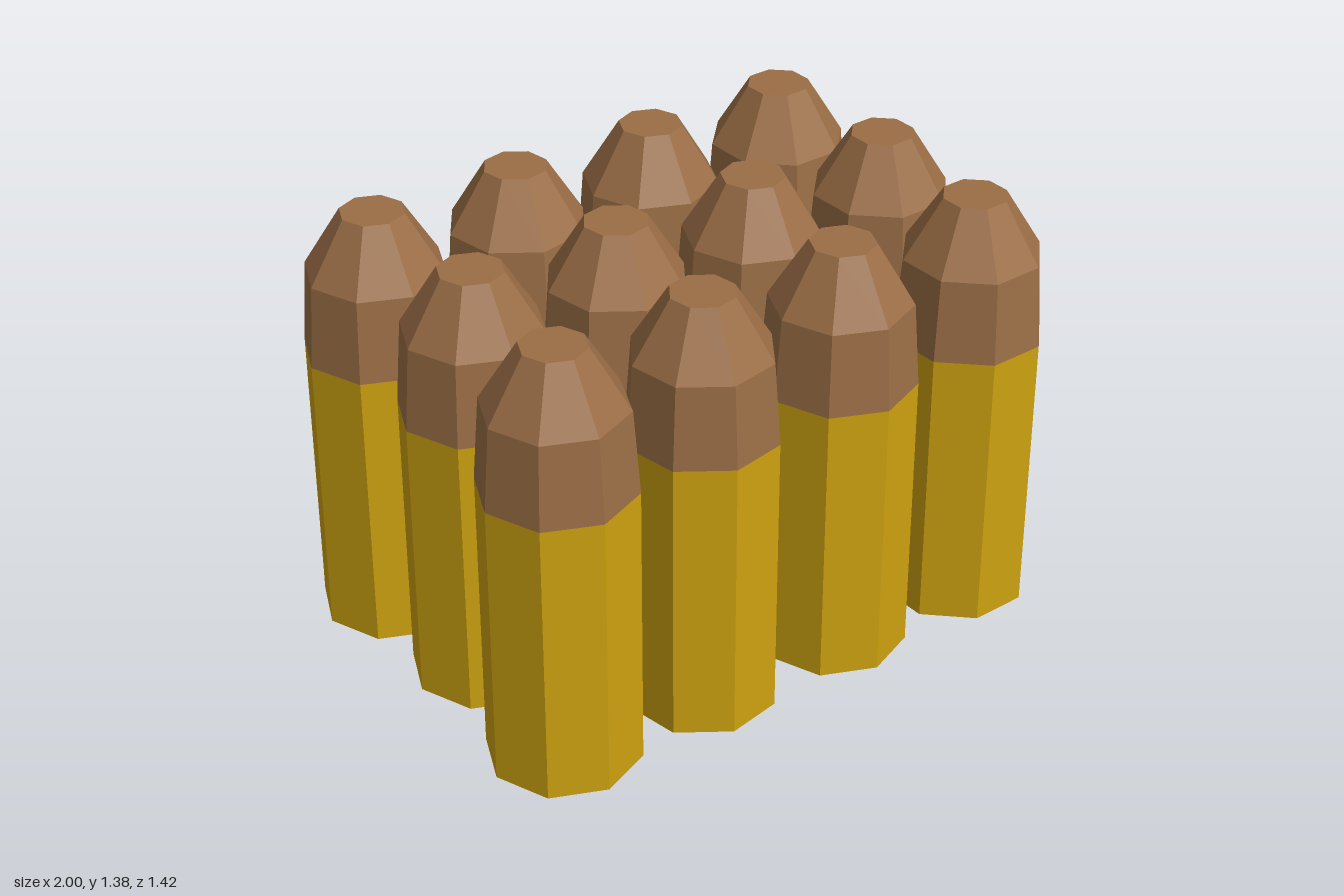
import * as THREE from 'three';

// Three rows of four eight-sided cartridges, standing upright.
export function createModel() {
  const model = new THREE.Group();
  model.name = 'cartridges';

  const brass = new THREE.MeshStandardMaterial({ color: 0xcda210, flatShading: true });
  brass.name = 'brass';
  const copper = new THREE.MeshStandardMaterial({ color: 0x9b6e46, flatShading: true });
  copper.name = 'copper';

  // Faceted solid of revolution from [radius, height] pairs, bottom to top
  const turned = (profile) =>
    new THREE.LatheGeometry(profile.map(([r, y]) => new THREE.Vector2(r, y)), 8).toNonIndexed();

  const casingShape = turned([[0, 0], [0.237, 0], [0.237, 0.93]]);
  const tipShape = turned([[0.237, 0.93], [0.217, 1.195], [0.1, 1.385], [0, 1.385]]);
  casingShape.computeVertexNormals();
  tipShape.computeVertexNormals();

  // Each row starts at its own offset; each column has its own twist
  const rows = [
    { x: -0.763, z: -0.473 },
    { x: -0.713, z: -0.009 },
    { x: -0.751, z: 0.473 },
  ];
  const twists = [0, -11, 0, -20];
  const spacing = 0.497;

  for (const row of rows) {
    twists.forEach((twist, column) => {
      const cartridge = new THREE.Group();
      cartridge.name = 'cartridge';
      const casing = new THREE.Mesh(casingShape, brass);
      casing.name = 'casing';
      const tip = new THREE.Mesh(tipShape, copper);
      tip.name = 'tip';
      cartridge.add(casing, tip);
      cartridge.position.set(row.x + column * spacing, 0, row.z);
      cartridge.rotation.y = THREE.MathUtils.degToRad(twist);
      model.add(cartridge);
    });
  }
  return model;
}
